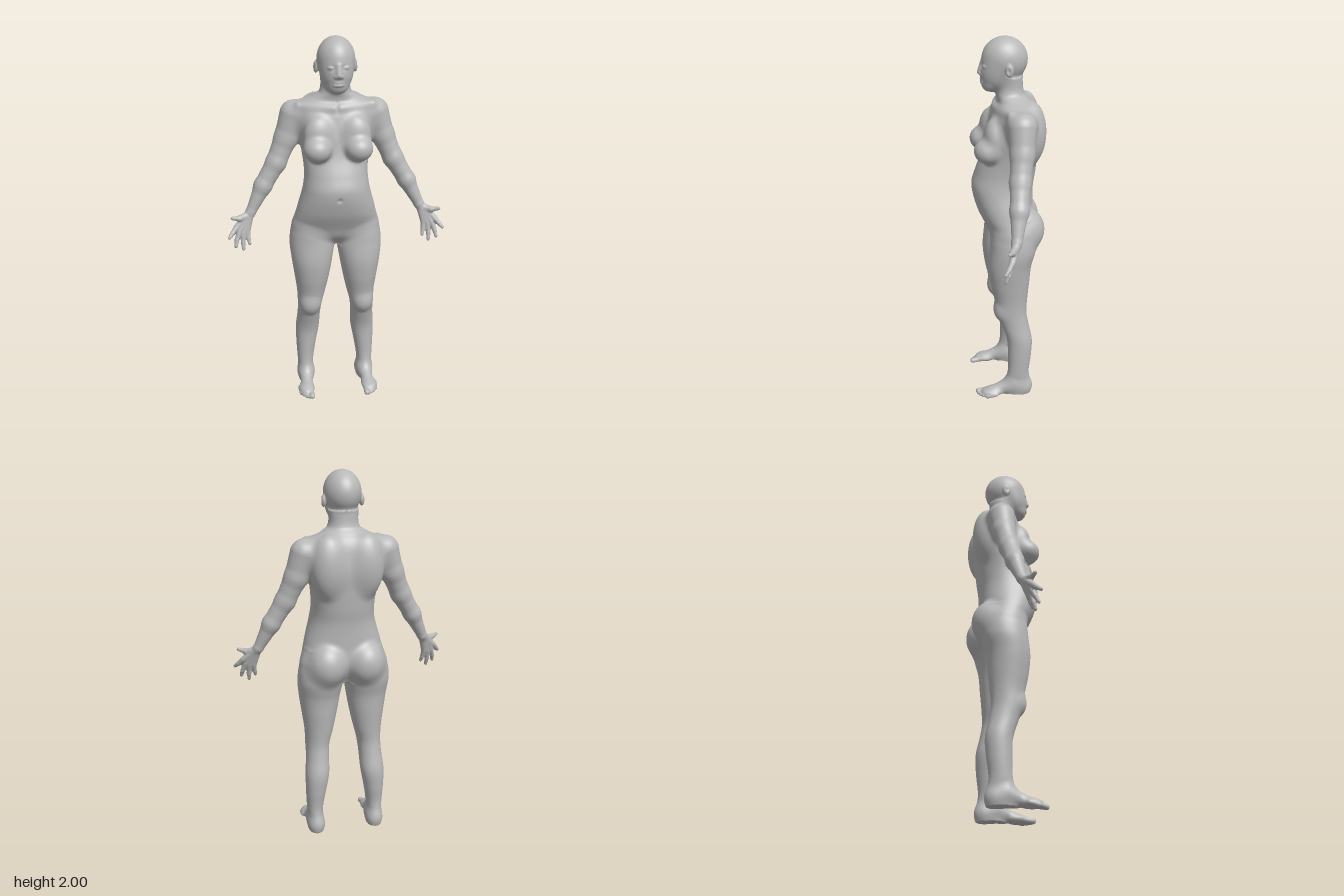
import * as THREE from 'three';

const H = 0.008; // grid step of the body surface

// --- small field helpers -------------------------------------------------
const smin = (a, b, k) => { const t = Math.max(k - Math.abs(a - b), 0); return Math.min(a, b) - t * t / (4 * k); };
const carve = (a, b, k) => -smin(-a, b, k);

function ellipsoid(x, y, z, cx, cy, cz, rx, ry, rz) {
  const a = (x - cx) / rx, b = (y - cy) / ry, c = (z - cz) / rz;
  const k0 = Math.hypot(a, b, c), k1 = Math.hypot(a / rx, b / ry, c / rz);
  return k1 < 1e-6 ? -Math.min(rx, ry, rz) : k0 * (k0 - 1) / k1;
}

// tapered rod between points [x, y, z, radius]
function rod(x, y, z, a, b) {
  const dx = b[0] - a[0], dy = b[1] - a[1], dz = b[2] - a[2];
  let t = ((x - a[0]) * dx + (y - a[1]) * dy + (z - a[2]) * dz) / (dx * dx + dy * dy + dz * dz);
  t = Math.min(1, Math.max(0, t));
  return Math.hypot(x - a[0] - dx * t, y - a[1] - dy * t, z - a[2] - dz * t) - a[3] - (b[3] - a[3]) * t;
}

function chain(x, y, z, pts, k) {
  let d = 9;
  for (let i = 1; i < pts.length; i++) d = smin(d, rod(x, y, z, pts[i - 1], pts[i]), k);
  return d;
}

// smooth stack of horizontal sections [y, xMin, xMax, zFront, zBack]
function stack(x, y, z, rows, n) {
  const last = rows.length - 1, yc = Math.min(rows[last][0], Math.max(rows[0][0], y));
  let i = 0;
  while (i < last - 1 && yc > rows[i + 1][0]) i++;
  const p = rows[i], q = rows[i + 1], o = rows[Math.max(0, i - 1)], r = rows[Math.min(last, i + 2)];
  const s = q[0] - p[0], t = (yc - p[0]) / s, t2 = t * t, t3 = t2 * t;
  const at = (j) => (2 * t3 - 3 * t2 + 1) * p[j] + (3 * t2 - 2 * t3) * q[j]
    + (t3 - 2 * t2 + t) * s * (q[j] - o[j]) / (q[0] - o[0]) + (t3 - t2) * s * (r[j] - p[j]) / (r[0] - p[0]);
  const x0 = at(1), x1 = at(2), zf = at(3), zb = at(4), a = (x1 - x0) / 2, b = (zf - zb) / 2;
  const u = Math.abs(x - (x0 + x1) / 2) / a, v = Math.abs(z - (zf + zb) / 2) / b;
  const N = Math.pow(u ** n + v ** n, 1 / n);
  if (N < 1e-6) return -Math.min(a, b);
  const d = (N - 1) / Math.hypot((u / N) ** (n - 1) / a, (v / N) ** (n - 1) / b);
  return Math.max(d, rows[0][0] - y, y - rows[last][0]);
}

// --- body proportions ----------------------------------------------------
const TORSO = [
  [0.89, 0.10, 0.03, -0.09], [0.94, 0.19, 0.08, -0.12], [1.0, 0.225, 0.108, -0.14], [1.1, 0.207, 0.155, -0.14],
  [1.22, 0.175, 0.18, -0.143], [1.3, 0.167, 0.158, -0.155], [1.4, 0.177, 0.12, -0.165], [1.5, 0.195, 0.1, -0.172],
  [1.6, 0.21, 0.078, -0.16], [1.64, 0.205, 0.062, -0.15], [1.67, 0.17, 0.045, -0.135], [1.69, 0.125, 0.045, -0.118],
  [1.72, 0.083, 0.05, -0.094], [1.8, 0.075, 0.04, -0.085],
].map(([y, w, f, b]) => [y, -w, w, f, b]);
const LEG = [
  [0.01, 0.13, 0.208, 0.03, -0.115], [0.08, 0.13, 0.211, 0.025, -0.115], [0.15, 0.126, 0.216, 0.01, -0.108],
  [0.25, 0.11, 0.221, 0.008, -0.12], [0.35, 0.092, 0.222, 0.014, -0.125], [0.45, 0.087, 0.213, 0.045, -0.105],
  [0.52, 0.08, 0.212, 0.074, -0.095], [0.6, 0.06, 0.215, 0.08, -0.1], [0.7, 0.038, 0.228, 0.1, -0.11],
  [0.8, 0.02, 0.242, 0.11, -0.12], [0.9, 0.006, 0.25, 0.102, -0.145], [1.0, 0.02, 0.232, 0.09, -0.14],
  [1.06, 0.05, 0.19, 0.06, -0.11],
];
const ARM = [[0.212, 1.594, -0.055, 0.074], [0.256, 1.47, -0.048, 0.06], [0.312, 1.343, -0.03, 0.052],
  [0.385, 1.222, -0.015, 0.046], [0.452, 1.09, 0.006, 0.027]];
const WRIST = [0.455, 1.085, 0.008, 0.02];
const FINGERS = [
  [[0.53, 1.018, 0.04, 0.016], [0.555, 0.99, 0.06, 0.012], [0.572, 0.972, 0.078, 0.009]],
  [[0.517, 0.996, 0.042, 0.016], [0.534, 0.95, 0.058, 0.012], [0.541, 0.918, 0.072, 0.009]],
  [[0.498, 0.983, 0.04, 0.016], [0.502, 0.932, 0.053, 0.012], [0.501, 0.898, 0.064, 0.009]],
  [[0.477, 0.987, 0.034, 0.015], [0.472, 0.947, 0.046, 0.011], [0.467, 0.924, 0.056, 0.0085]],
];
const THUMB = [[0.468, 1.072, 0.012, 0.02], [0.515, 1.062, 0.038, 0.015], [0.552, 1.072, 0.055, 0.01]];

function headField(x, y, z) {
  let d = ellipsoid(x, y, z, 0, 1.886, 0.004, 0.097, 0.114, 0.116);
  d = smin(d, ellipsoid(x, y, z, 0, 1.818, 0.045, 0.079, 0.09, 0.084), 0.03);
  d = smin(d, ellipsoid(x, y, z, 0, 1.757, 0.083, 0.042, 0.03, 0.034), 0.03);
  d = carve(d, ellipsoid(x, y, z, 0.036, 1.862, 0.143, 0.024, 0.014, 0.022), 0.018); // eye sockets
  d = smin(d, ellipsoid(x, y, z, 0.036, 1.861, 0.104, 0.018, 0.011, 0.017), 0.006); // eyelids
  d = smin(d, rod(x, y, z, [0, 1.872, 0.116, 0.009], [0, 1.826, 0.131, 0.013]), 0.014); // nose
  d = smin(d, ellipsoid(x, y, z, 0.013, 1.819, 0.124, 0.011, 0.009, 0.012), 0.008); // nostril wings
  for (const ly of [1.788, 1.774]) d = smin(d, ellipsoid(x, y, z, 0, ly, 0.118, 0.028, 0.0075, 0.011), 0.006); // lips
  let ear = ellipsoid(x, y, z, 0.1, 1.846, -0.008, 0.013, 0.032, 0.02);
  ear = carve(ear, ellipsoid(x, y, z, 0.115, 1.85, 0, 0.01, 0.018, 0.01), 0.006);
  return smin(d, ear, 0.01);
}

function footField(x, y, z) {
  let d = ellipsoid(x, y, z, 0.168, 0.045, -0.075, 0.044, 0.048, 0.05);
  d = smin(d, rod(x, y, z, [0.17, 0.065, -0.02, 0.045], [0.176, 0.03, 0.1, 0.024]), 0.03);
  d = smin(d, ellipsoid(x, y, z, 0.179, 0.028, 0.1, 0.043, 0.024, 0.06), 0.02);
  for (let i = 0; i < 5; i++) { // toes, big one innermost
    const tx = 0.155 + i * 0.0145, tz = 0.177 - 0.0028 * i * i, r = i ? 0.0105 : 0.015;
    d = smin(d, rod(x, y, z, [tx + 0.003, 0.024, tz - 0.05, r], [tx, r + 0.004, tz, r]), 0.008);
  }
  return d;
}

function field(px, y, z) {
  const x = Math.abs(px);
  let d = 1;
  if (y > 0.8) {
    d = stack(x, y, z, TORSO, 2.25);
    d = smin(d, ellipsoid(x, y, z, 0.1, 1.53, -0.118, 0.088, 0.16, 0.076), 0.04); // shoulder blades
    d = smin(d, ellipsoid(x, y, z, 0.1, 1.5, 0.075, 0.072, 0.1, 0.05), 0.04); // upper chest
    d = smin(d, ellipsoid(x, y, z, 0.107, 1.443, 0.105, 0.072, 0.066, 0.07), 0.025); // bust
    d = carve(d, ellipsoid(x, y, z, 0, 1.185, 0.186, 0.012, 0.009, 0.014), 0.014); // navel
    d = smin(d, rod(x, y, z, [0.02, 1.645, 0.052, 0.013], [0.19, 1.652, 0, 0.015]), 0.03); // collarbones
  }
  if (y < 1.15) {
    d = smin(d, stack(x, y, z, LEG, 2.1), 0.03);
    d = smin(d, ellipsoid(x, y, z, 0.104, 0.995, -0.098, 0.1, 0.115, 0.095), 0.03); // seat muscles
  }
  if (y < 0.7) d = smin(d, ellipsoid(x, y, z, 0.145, 0.535, 0.045, 0.042, 0.05, 0.034), 0.03); // kneecaps
  if (y < 0.3) d = Math.max(smin(d, footField(x, y, z), 0.03), 0.003 - y);
  if (y > 1.65) d = smin(d, headField(x, y, z), 0.025);
  if (x > 0.08 && y > 0.85) d = smin(d, chain(x, y, z, ARM, 0.02), 0.035);
  if (x > 0.4 && y > 0.85 && y < 1.2) {
    let hand = chain(x, y, z, THUMB, 0.01);
    for (const f of FINGERS) hand = smin(hand, Math.min(rod(x, y, z, WRIST, f[0]), chain(x, y, z, f, 0.004)), 0.007);
    d = smin(d, hand, 0.015);
  }
  return d;
}

// part of the body a point belongs to
function partAt(x, y) {
  const side = x > 0 ? 'left' : 'right', ax = Math.abs(x);
  if (y > 1.71) return 'head';
  if (y > 0.85 && ax > 0.2 + Math.max(0, 1.4 - y) * 0.35) return side + 'Arm';
  return y < 0.95 ? side + 'Leg' : 'torso';
}

export function createModel() {
  const skin = new THREE.MeshStandardMaterial({ name: 'plain grey', color: 0xb8b8b8 });

  // sample the field on a mirrored grid
  const half = 76, n = [2 * half + 1, 256, 62], org = [-half * H, -0.0165, -0.244];
  const step = [1, n[0], n[0] * n[1]], vals = new Float32Array(n[0] * n[1] * n[2]);
  for (let k = 0; k < n[2]; k++) for (let j = 0; j < n[1]; j++) for (let i = 0; i <= half; i++) {
    const row = j * step[1] + k * step[2];
    vals[row + half + i] = vals[row + half - i] = field(i * H, org[1] + j * H, org[2] + k * H);
  }

  // one vertex per cell crossed by the surface, pulled onto it
  const cell = new Int32Array(vals.length).fill(-1), pos = [], nor = [], e = 0.002;
  const grad = (p) => [0, 1, 2].map((a) => {
    const u = [...p], v = [...p];
    u[a] += e; v[a] -= e;
    return (field(...u) - field(...v)) / (2 * e);
  });
  for (let k = 0; k < n[2] - 1; k++) for (let j = 0; j < n[1] - 1; j++) for (let i = 0; i < n[0] - 1; i++) {
    const id = i + j * step[1] + k * step[2], sum = [0, 0, 0];
    let count = 0;
    for (let c = 0; c < 8; c++) for (let a = 0; a < 3; a++) {
      if (c >> a & 1) continue;
      const o = [c & 1, c >> 1 & 1, c >> 2 & 1], s = id + o[0] + o[1] * step[1] + o[2] * step[2];
      const va = vals[s], vb = vals[s + step[a]];
      if ((va < 0) === (vb < 0)) continue;
      o[a] = va / (va - vb);
      for (let m = 0; m < 3; m++) sum[m] += o[m];
      count++;
    }
    if (!count) continue;
    const p = [i, j, k].map((g, m) => org[m] + (g + sum[m] / count) * H);
    let g = grad(p);
    const f = field(...p) / Math.max(0.2, g[0] ** 2 + g[1] ** 2 + g[2] ** 2);
    for (let m = 0; m < 3; m++) p[m] -= Math.max(-H / 2, Math.min(H / 2, f * g[m]));
    g = new THREE.Vector3(...grad(p)).normalize();
    cell[id] = pos.length / 3;
    pos.push(...p);
    nor.push(g.x, g.y, g.z);
  }

  // join the vertices with quads, sorted into named parts
  const parts = {};
  for (let k = 1; k < n[2] - 1; k++) for (let j = 1; j < n[1] - 1; j++) for (let i = 1; i < n[0] - 1; i++) {
    const id = i + j * step[1] + k * step[2];
    for (let a = 0; a < 3; a++) {
      const inside = vals[id] < 0;
      if (inside === (vals[id + step[a]] < 0)) continue;
      const b = step[(a + 1) % 3], c = step[(a + 2) % 3];
      const q = [cell[id - b - c], cell[id - c], cell[id], cell[id - b]];
      if (!inside) q.reverse();
      const part = partAt(pos[q[0] * 3], pos[q[0] * 3 + 1]);
      (parts[part] ??= []).push(q[0], q[1], q[2], q[0], q[2], q[3]);
    }
  }

  const group = new THREE.Group();
  group.name = 'figure';
  for (const [name, tris] of Object.entries(parts)) {
    const map = new Map(), P = [], N = [];
    const index = tris.map((v) => {
      if (!map.has(v)) {
        map.set(v, map.size);
        P.push(...pos.slice(v * 3, v * 3 + 3));
        N.push(...nor.slice(v * 3, v * 3 + 3));
      }
      return map.get(v);
    });
    const geo = new THREE.BufferGeometry();
    geo.setAttribute('position', new THREE.Float32BufferAttribute(P, 3));
    geo.setAttribute('normal', new THREE.Float32BufferAttribute(N, 3));
    geo.setIndex(index);
    const mesh = new THREE.Mesh(geo, skin);
    mesh.name = name;
    group.add(mesh);
  }
  return group;
}
